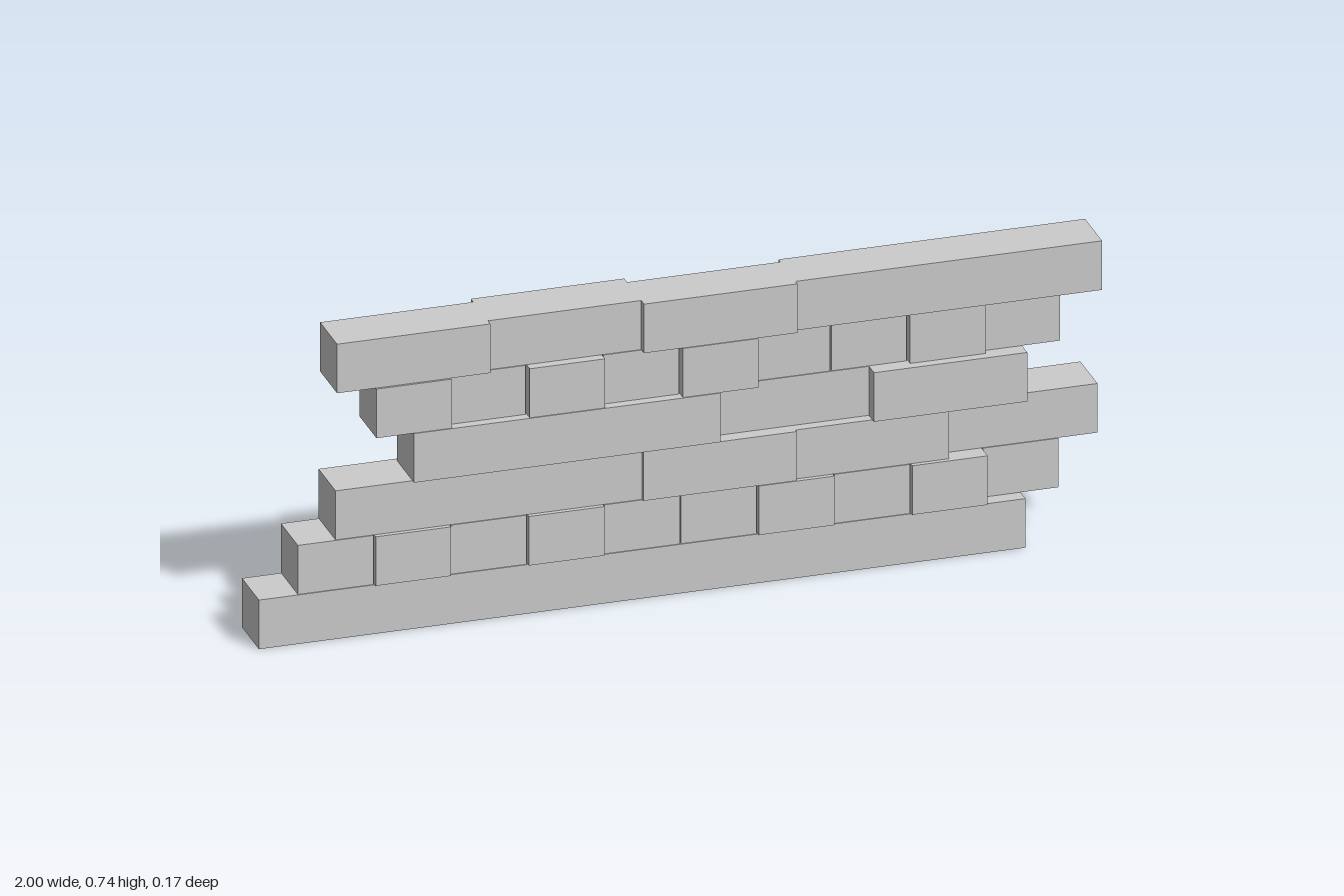
import * as THREE from 'three';

const LENGTH = 2 / 11;      // brick pitch along the wall
const HEIGHT = 0.736 / 6;   // course pitch
const DEPTH = 0.126;

// Each course: left end, joint gap and the depth offset of every brick
const courses = [
  { start: -1, gap: 0, z: Array(10).fill(0.011) },
  { start: -1 + LENGTH / 2, gap: 0.003, z: [0.011, 0.02, 0.011, 0.02, 0.011, 0.011, 0.02, 0.011, 0.02, -0.023] },
  { start: -1 + LENGTH, gap: 0, z: [0.011, 0.011, 0.011, 0.011, 0.02, 0.02, 0.011, 0.011, -0.023, -0.023] },
  { start: -1 + LENGTH * 2, gap: 0, z: [0.025, 0.025, 0.025, 0.025, -0.012, -0.012, 0.025, 0.025] },
  { start: -1 + LENGTH * 1.5, gap: 0.003, z: [0.025, 0.004, 0.025, 0.004, 0.025, -0.012, -0.012, 0.004, -0.012] },
  { start: -1 + LENGTH, gap: 0, z: [0.022, 0.022, 0.004, 0.004, 0.025, 0.025, 0.011, 0.011, 0.011, 0.011] },
];

export function createModel() {
  const wall = new THREE.Group();
  wall.name = 'brickWall';
  const material = new THREE.MeshStandardMaterial({ color: 0xcccccc, flatShading: true });

  courses.forEach(({ start, gap, z }, row) => {
    const course = new THREE.Group();
    course.name = `course${row + 1}`;
    // Courses touch the ground and top exactly, with a hairline bed joint between
    const geometry = new THREE.BoxGeometry(LENGTH - gap, HEIGHT - 0.001, DEPTH);
    z.forEach((offset, i) => {
      const brick = new THREE.Mesh(geometry, material);
      brick.name = `brick${i + 1}`;
      brick.position.set(start + (i + 0.5) * LENGTH, (row + 0.5) * HEIGHT + (row / 5 - 0.5) * 0.001, offset);
      course.add(brick);
    });
    wall.add(course);
  });
  return wall;
}
